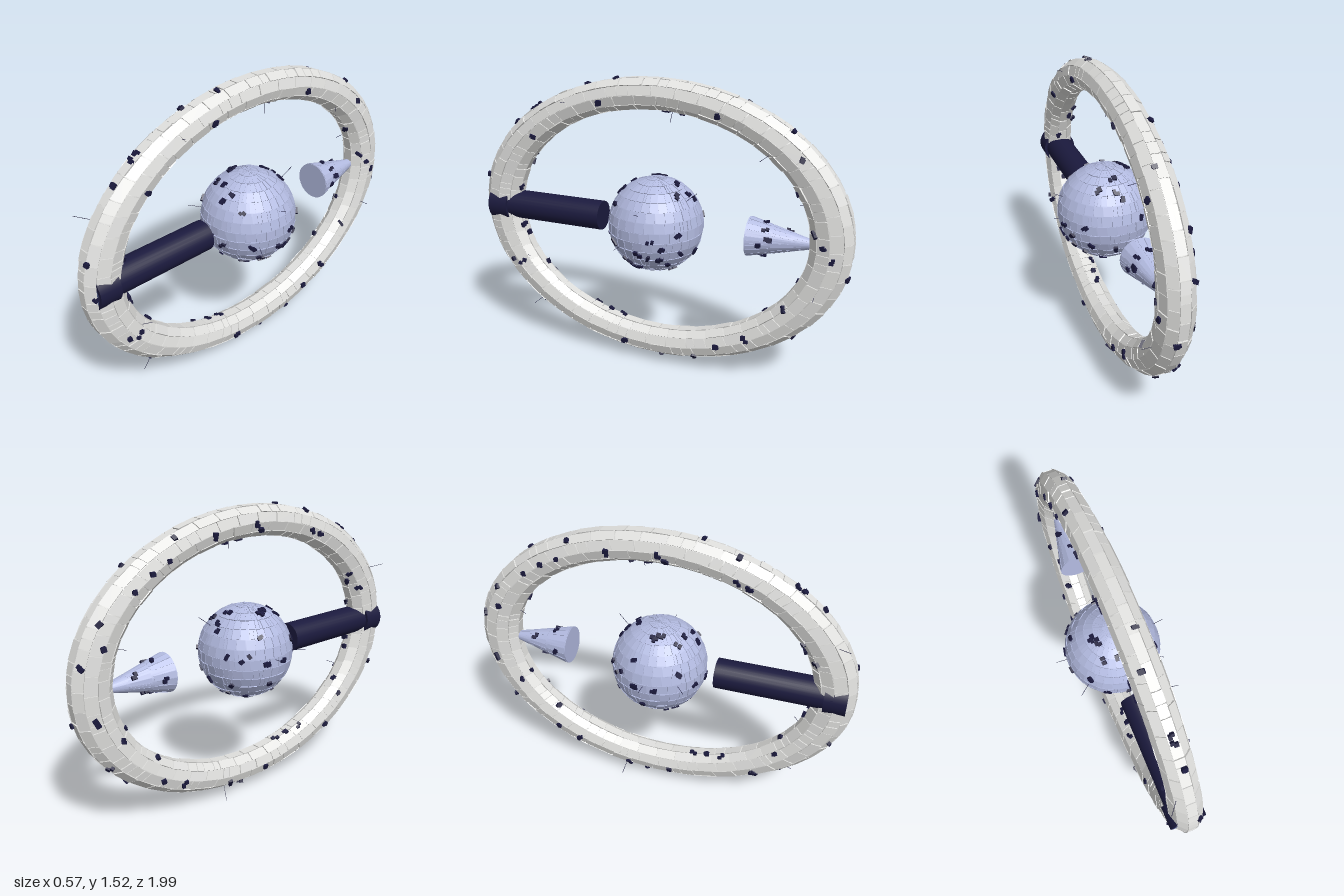
import * as THREE from 'three';
import { mergeGeometries } from 'three/addons/utils/BufferGeometryUtils.js';

const CY = 0.745; // height of the station's axis
const TAU = Math.PI * 2;

function seeded(seed) {
  return () => {
    seed = (seed * 1664525 + 1013904223) % 4294967296;
    return seed / 4294967296;
  };
}

// Surfaces: u and v run 0..1, h is the height above the hull
const ringAt = (u, v, h) => {
  const a = u * TAU, b = (v - 0.05) * TAU, r = 0.079 + h;
  const d = 0.662 + r * Math.cos(b);
  return new THREE.Vector3(-r * Math.sin(b), d * Math.sin(a), 1.352 * d * Math.cos(a));
};
const sphereAt = (u, v, h) => {
  const a = u * TAU, b = (v - 0.5) * Math.PI, r = 0.244 + h;
  return new THREE.Vector3(Math.cos(b) * Math.sin(a) * r, Math.sin(b) * r, Math.cos(b) * Math.cos(a) * r);
};
const coneAt = (u, v, h) => {
  const a = u * TAU, r = 0.1 * v + h;
  return new THREE.Vector3(r * Math.cos(a), r * Math.sin(a), -0.89 + 0.4 * v);
};

// Raised hull plates, one or two per grid cell, separated by narrow seams
function plates(at, nu, nv, gap, relief, rand, v0 = 0) {
  const pos = [];
  const quad = (a, b, c, d) => [a, b, c, a, c, d].forEach((p) => pos.push(p.x, p.y, p.z));
  const plate = (u0, u1, w0, w1) => {
    const h = (rand() - 0.5) * relief;
    const gu = gap / nu, gv = gap / nv;
    const uv = [[u0 + gu, w0 + gv], [u1 - gu, w0 + gv], [u1 - gu, w1 - gv], [u0 + gu, w1 - gv]];
    const top = uv.map(([u, v]) => at(u, v, h));
    const low = uv.map(([u, v]) => at(u, v, -0.008));
    quad(...top);
    for (let k = 0; k < 4; k++) {
      const n = (k + 1) % 4;
      quad(low[k], low[n], top[n], top[k]);
    }
  };
  for (let j = 0; j < nv; j++) {
    const shift = rand() / nu;
    for (let i = 0; i < nu; i++) {
      const u0 = i / nu + shift, u1 = u0 + 1 / nu;
      const w0 = v0 + (1 - v0) * j / nv, w1 = v0 + (1 - v0) * (j + 1) / nv;
      if (rand() < 0.2) {
        const m = u0 + (0.35 + rand() * 0.3) / nu;
        plate(u0, m, w0, w1);
        plate(m, u1, w0, w1);
      } else plate(u0, u1, w0, w1);
    }
  }
  const g = new THREE.BufferGeometry();
  g.setAttribute('position', new THREE.Float32BufferAttribute(pos, 3));
  g.computeVertexNormals();
  return g;
}

// Small equipment boxes in pairs, plus a few thin antennas
function fittings(at, count, antennas, rand, vMin, vMax) {
  const parts = [];
  const up = new THREE.Vector3(0, 1, 0);
  const place = (g, u, v, h) => {
    const p = at(u, v, h);
    const n = at(u, v, h + 0.01).sub(p).normalize();
    g.applyQuaternion(new THREE.Quaternion().setFromUnitVectors(up, n));
    parts.push(g.translate(p.x, p.y, p.z));
  };
  for (let i = 0; i < count; i++) {
    const u = (i + rand()) / count, v = vMin + rand() * (vMax - vMin);
    for (let k = 0; k < 2; k++) {
      const box = new THREE.BoxGeometry(0.014 + rand() * 0.012, 0.016, 0.014 + rand() * 0.012);
      box.translate((rand() - 0.5) * 0.026, 0, (rand() - 0.5) * 0.026);
      place(box, u, v, 0);
    }
  }
  for (let i = 0; i < antennas; i++) {
    const len = 0.03 + rand() * 0.05;
    const rod = new THREE.CylinderGeometry(0.0012, 0.0012, len, 5);
    place(rod.translate(0, len / 2, 0), (i + rand()) / antennas, vMin + rand() * (vMax - vMin), 0);
  }
  return mergeGeometries(parts);
}

export function createModel() {
  const model = new THREE.Group();
  const paint = (name, color) => {
    const m = new THREE.MeshStandardMaterial({ color });
    m.name = name;
    return m;
  };
  const ringGrey = paint('ringGrey', 0xe0e0de);
  const hullBlue = paint('hullBlue', 0xb4bce2);
  const navy = paint('navy', 0x1b1a3e);
  const portBlue = paint('portBlue', 0x5a6698);
  const add = (name, geometry, material) => {
    const mesh = new THREE.Mesh(geometry, material);
    mesh.name = name;
    mesh.position.y = CY;
    model.add(mesh);
  };
  const rand = seeded(42);

  // Oval outer ring
  add('ringCore', new THREE.TorusGeometry(0.662, 0.0725, 20, 96).rotateY(Math.PI / 2).scale(1, 1, 1.352), ringGrey);
  add('ringPlates', plates(ringAt, 48, 10, 0.025, 0.005, rand), ringGrey);
  add('ringFittings', fittings(ringAt, 66, 9, rand, 0, 1), navy);

  // Central sphere
  add('sphereCore', new THREE.SphereGeometry(0.24, 40, 24), hullBlue);
  add('spherePlates', plates(sphereAt, 30, 15, 0.035, 0.004, rand), hullBlue);
  add('sphereFittings', fittings(sphereAt, 46, 5, rand, 0.14, 0.86), navy);

  // Rear cone, tapering into the ring
  add('coneCore', new THREE.CylinderGeometry(0.098, 0.002, 0.4, 24).rotateX(Math.PI / 2).translate(0, 0, -0.69), hullBlue);
  add('conePlates', plates(coneAt, 18, 3, 0.04, 0.003, rand, 0.12), hullBlue);
  add('coneFittings', fittings(coneAt, 8, 0, rand, 0.45, 0.85), navy);

  // Front boom and the collar clamped around the ring
  const rodAlongZ = (r, z0, z1) =>
    new THREE.CylinderGeometry(r, r, z1 - z0, 28).rotateX(Math.PI / 2).translate(0, 0, (z0 + z1) / 2);
  add('boom', rodAlongZ(0.077, 0.3, 0.88), navy);
  add('boomCollar', rodAlongZ(0.092, 0.845, 0.955), navy);
  add('collarPort', new THREE.CircleGeometry(0.076, 28).translate(0, 0, 0.957), portBlue);

  return model;
}
